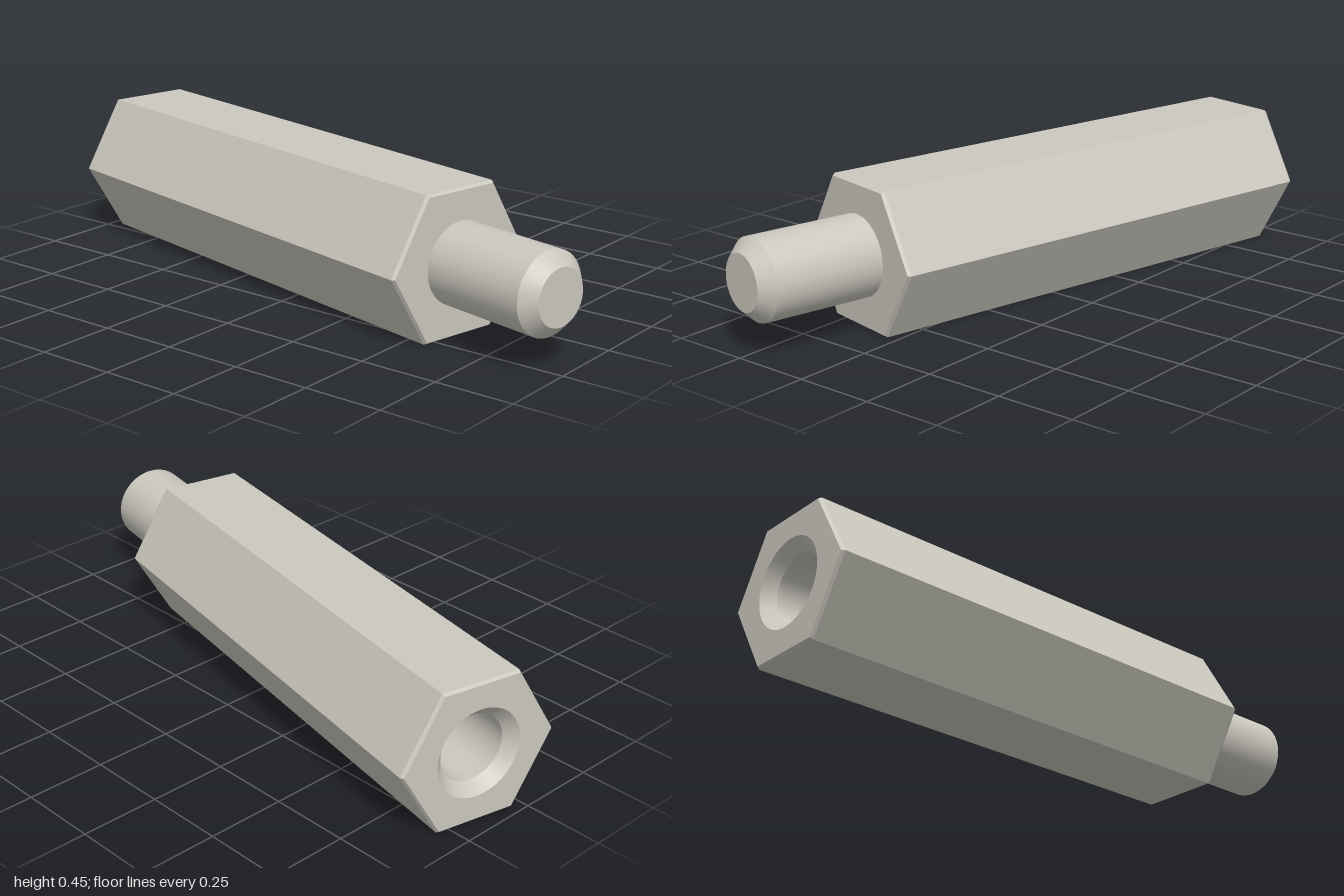
import * as THREE from 'three';
import { toCreasedNormals } from 'three/addons/utils/BufferGeometryUtils.js';

const R = 0.257;          // hexagon corner radius
const CAP_R = 0.25;       // corner radius of the end faces, inside the bevel
const BODY = 1.578;       // hexagon body length
const BEVEL = 0.01;
const STUD = 0.394;       // stud length
const CSINK_R = 0.14;     // countersink mouth radius

// Revolve a [radius, distance] profile around the x axis
function turned(profile, segments) {
  const points = profile.map(([r, d]) => new THREE.Vector2(r, d));
  const geometry = new THREE.LatheGeometry(points, segments);
  geometry.rotateZ(-Math.PI / 2);
  return toCreasedNormals(geometry, 0.35);
}

// Flat hexagon with corners on its horizontal axis
function hexShape(radius) {
  const corners = [];
  for (let i = 0; i < 6; i++) {
    const a = i * Math.PI / 3;
    corners.push(new THREE.Vector2(radius * Math.cos(a), radius * Math.sin(a)));
  }
  return new THREE.Shape(corners);
}

export function createModel() {
  const metal = new THREE.MeshStandardMaterial({ color: 0xcbc8be });
  metal.name = 'warm grey metal';

  const spacer = new THREE.Group();
  spacer.name = 'hexStandoff';
  const add = (name, geometry, x) => {
    const mesh = new THREE.Mesh(geometry, metal);
    mesh.name = name;
    mesh.position.x = x;
    spacer.add(mesh);
  };

  // Six-sided body with slightly bevelled ends
  add('hexBody', turned([
    [CAP_R, 0], [R, BEVEL], [R, BODY - BEVEL], [CAP_R, BODY],
  ], 6), 0);

  // End face around the stud
  add('studEndFace', new THREE.ShapeGeometry(hexShape(CAP_R)).rotateY(Math.PI / 2), BODY);

  // End face with the bore opening
  const ring = hexShape(CAP_R);
  ring.holes.push(new THREE.Path().absarc(0, 0, CSINK_R, 0, Math.PI * 2, true));
  add('boreEndFace', new THREE.ShapeGeometry(ring, 24).rotateY(-Math.PI / 2), 0);

  // Countersunk blind bore
  add('bore', turned([
    [0, 0.65], [0.105, 0.6], [0.105, 0.036], [CSINK_R, 0],
  ], 48), 0);

  // Round stud with a chamfered tip
  add('stud', turned([
    [0.127, 0], [0.127, STUD - 0.042], [0.087, STUD], [0, STUD],
  ], 48), BODY);

  // Lie on one flat, turned slightly about the vertical
  spacer.rotation.y = -THREE.MathUtils.degToRad(12);
  spacer.position.set(-0.946, R * Math.sqrt(3) / 2, -0.164);

  const model = new THREE.Group();
  model.name = 'standoffModel';
  model.add(spacer);
  return model;
}
